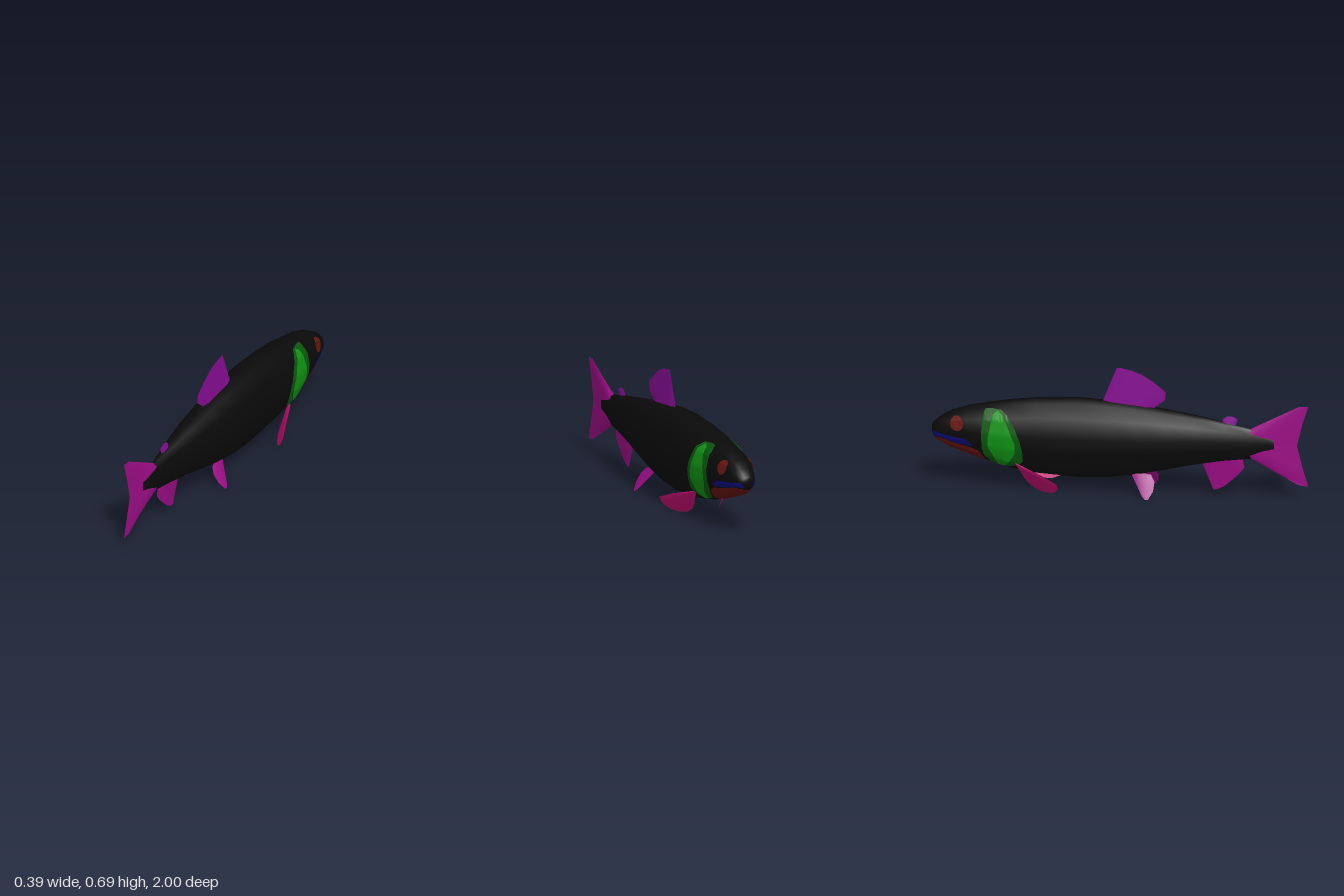
import * as THREE from 'three';

const mat = (name, color) => {
  const m = new THREE.MeshStandardMaterial({ color, side: THREE.DoubleSide });
  m.name = name;
  return m;
};

// Body stations: z, top, bottom, half width (nose to tail)
const STATIONS = [
  [-1, 0.338, 0.288, 0.03], [-0.985, 0.352, 0.262, 0.045], [-0.96, 0.375, 0.248, 0.06],
  [-0.9, 0.41, 0.218, 0.08], [-0.81, 0.44, 0.188, 0.1], [-0.7, 0.462, 0.153, 0.115],
  [-0.6, 0.481, 0.122, 0.125], [-0.45, 0.5, 0.094, 0.127], [-0.22, 0.512, 0.079, 0.127],
  [-0.05, 0.505, 0.087, 0.122], [0.1, 0.49, 0.11, 0.113], [0.25, 0.469, 0.143, 0.098],
  [0.4, 0.446, 0.177, 0.077], [0.55, 0.419, 0.203, 0.051], [0.69, 0.39, 0.22, 0.025],
  [0.76, 0.362, 0.25, 0.018], [0.82, 0.345, 0.27, 0.012],
];
// Half cross-section from top to bottom: x and y as fractions
const SECTION = [[0, 1], [0.46, 0.935], [0.86, 0.63], [1, 0.12], [0.95, -0.29], [0.75, -0.71], [0.43, -0.94], [0, -1]];

// Linear lookup in rows sorted by their first value
function lookup(rows, v) {
  let i = 0;
  while (i < rows.length - 2 && v > rows[i + 1][0]) i++;
  const a = rows[i], b = rows[i + 1];
  const f = THREE.MathUtils.clamp((v - a[0]) / (b[0] - a[0]), 0, 1);
  return a.map((p, k) => p + (b[k] - p) * f);
}
const WIDTHS = SECTION.map(([x, y]) => [y, x]).reverse();

// Point on the left flank at (z, y), lifted outward
function onSkin(z, y, lift) {
  const [, top, bottom, w] = lookup(STATIONS, z);
  const c = (top + bottom) / 2, h = (top - bottom) / 2;
  const t = THREE.MathUtils.clamp((y - c) / h, -1, 1);
  const x = w * lookup(WIDTHS, t)[1];
  const n = new THREE.Vector2(x / (w * w), t / h).normalize();
  return [x + n.x * lift, c + t * h + n.y * lift, z];
}

function makeGeometry(positions, index) {
  const g = new THREE.BufferGeometry();
  g.setAttribute('position', new THREE.Float32BufferAttribute(positions.flat(), 3));
  g.setIndex(index);
  g.computeVertexNormals();
  return g;
}

// Triangles for a grid of rows x cols points
function gridIndex(rows, cols, start = 0) {
  const index = [];
  for (let i = 0; i < rows - 1; i++) for (let j = 0; j < cols - 1; j++) {
    const a = start + i * cols + j, b = a + 1, c = a + cols, d = c + 1;
    index.push(a, c, b, b, c, d);
  }
  return index;
}

function bodyGeometry() {
  const ring = [...SECTION, ...SECTION.slice(1, -1).reverse().map(([x, y]) => [-x, y])];
  const n = ring.length, pos = [], index = [];
  for (const [z, top, bottom, w] of STATIONS)
    for (const [x, y] of ring) pos.push([x * w, (top + bottom) / 2 + y * (top - bottom) / 2, z]);
  const last = (STATIONS.length - 1) * n, nose = pos.length;
  pos.push([0, 0.315, -1.0], [0, 0.307, 0.82]);
  for (let j = 0; j < n; j++) {
    const k = (j + 1) % n;
    for (let i = 0; i < last; i += n) index.push(i + j, i + n + j, i + k, i + k, i + n + j, i + n + k);
    index.push(nose, j, k, nose + 1, last + k, last + j);
  }
  return makeGeometry(pos, index);
}

// Thin marking on the skin; rows are z, lower y, upper y
function patchGeometry(rows, lift, side) {
  const N = 32, K = 18, pos = [];
  const z0 = rows[0][0], z1 = rows[rows.length - 1][0];
  for (let i = 0; i <= N; i++) {
    const z = z0 + (z1 - z0) * i / N;
    const [, lo, hi] = lookup(rows, z);
    for (let j = 0; j <= K; j++) {
      const [x, y, pz] = onSkin(z, lo + (hi - lo) * j / K, lift);
      pos.push([x * side, y, pz]);
    }
  }
  return makeGeometry(pos, gridIndex(N + 1, K + 1));
}

// Fin lofted from a thick base to a thin rim; points are [z, y], xAt gives its plane
function finGeometry(base, rim, thick, xAt = () => 0, side = 1) {
  const pos = [], n = base.length, rows = 5;
  for (const face of [1, -1]) for (let i = 0; i < n; i++) for (let r = 0; r < rows; r++) {
    const f = r / (rows - 1);
    const z = base[i][0] + (rim[i][0] - base[i][0]) * f;
    const y = base[i][1] + (rim[i][1] - base[i][1]) * f;
    const t = i === 0 || i === n - 1 ? 0 : thick * (1 - f);
    pos.push([side * (xAt(z, y) + face * t), y, z]);
  }
  return makeGeometry(pos, [...gridIndex(n, rows), ...gridIndex(n, rows, n * rows)]);
}

// Evenly spaced base points from a to b
const line = (a, b, n) => Array.from({ length: n }, (_, i) =>
  [a[0] + (b[0] - a[0]) * i / (n - 1), a[1] + (b[1] - a[1]) * i / (n - 1)]);

export function createModel() {
  const skin = mat('black skin', 0x0a0a0a);
  const darkGreen = mat('dark green', 0x0a580d);
  const green = mat('bright green', 0x109414);
  const red = mat('dark red', 0x661410);
  const blue = mat('deep blue', 0x0c0c78);
  const magenta = mat('magenta fin', 0x9c0d86);
  const purple = mat('purple fin', 0x860d92);
  const pink = mat('pink fin', 0xc00d70);

  const group = new THREE.Group();
  const add = (name, geometry, material) => {
    const m = new THREE.Mesh(geometry, material);
    m.name = name;
    group.add(m);
  };

  add('body', bodyGeometry(), skin);

  // Fins on the centre line
  const dorsalRim = [[-0.02, 0.69], [0.0, 0.692], [0.06, 0.68], [0.115, 0.66], [0.18, 0.618], [0.24, 0.57], [0.238, 0.525]];
  add('dorsalFin', finGeometry(line([-0.1, 0.49], [0.165, 0.465], 7), dorsalRim, 0.012), purple);
  const adiposeRim = [[0.548, 0.437], [0.565, 0.449], [0.59, 0.452], [0.612, 0.446], [0.626, 0.435]];
  add('adiposeFin', finGeometry(line([0.535, 0.405], [0.61, 0.395], 5), adiposeRim, 0.01), purple);
  const analRim = [[0.495, 0.04], [0.515, 0.042], [0.555, 0.062], [0.6, 0.102], [0.64, 0.143], [0.66, 0.17]];
  add('analFin', finGeometry(line([0.43, 0.2], [0.65, 0.225], 6), analRim, 0.014), magenta);
  const tailBase = [[0.69, 0.385], [0.69, 0.37], [0.7, 0.34], [0.71, 0.305], [0.7, 0.27], [0.69, 0.24], [0.69, 0.225]];
  const tailRim = [[0.95, 0.522], [1, 0.525], [0.968, 0.42], [0.94, 0.305], [0.968, 0.19], [1, 0.08], [0.95, 0.085]];
  add('tailFin', finGeometry(tailBase, tailRim, 0.018), magenta);

  // Paired fins and markings
  const pectoralRim = [[-0.5, 0.08], [-0.475, 0.052], [-0.44, 0.03], [-0.385, 0.018], [-0.345, 0.026], [-0.32, 0.042], [-0.308, 0.065], [-0.312, 0.092], [-0.4, 0.127]];
  const pelvicRim = [[0.13, 0.022], [0.148, 0.006], [0.165, 0.008], [0.188, 0.045], [0.192, 0.09]];
  const eyeRows = Array.from({ length: 13 }, (_, i) => {
    const a = Math.PI * i / 12, s = 0.036 * Math.sin(a);
    return [-0.86 - 0.036 * Math.cos(a), 0.365 - s, 0.365 + s];
  });
  const gillRows = [[-0.725, 0.25, 0.39], [-0.715, 0.2, 0.447], [-0.68, 0.16, 0.453], [-0.62, 0.14, 0.45],
    [-0.58, 0.14, 0.42], [-0.545, 0.15, 0.36], [-0.52, 0.165, 0.3], [-0.505, 0.18, 0.23]];
  const gillCoreRows = [[-0.69, 0.25, 0.31], [-0.665, 0.21, 0.43], [-0.64, 0.15, 0.445], [-0.605, 0.145, 0.415],
    [-0.575, 0.18, 0.35], [-0.545, 0.23, 0.28]];
  const jawRows = [[-0.99, 0.255, 0.277], [-0.95, 0.23, 0.278], [-0.87, 0.2, 0.258], [-0.78, 0.16, 0.242],
    [-0.74, 0.15, 0.225], [-0.71, 0.14, 0.18]];
  const lipRows = [[-0.997, 0.285, 0.31], [-0.95, 0.28, 0.303], [-0.87, 0.261, 0.294], [-0.82, 0.255, 0.29], [-0.78, 0.248, 0.262]];

  for (const [label, s] of [['left', 1], ['right', -1]]) {
    add(label + 'PectoralFin', finGeometry(line([-0.53, 0.14], [-0.545, 0.168], 9), pectoralRim, 0.008,
      (z, y) => 0.329 + 0.58 * z + 0.51 * y, s), pink);
    add(label + 'PelvicFin', finGeometry(line([0.06, 0.13], [0.17, 0.122], 5), pelvicRim, 0.008,
      (z, y) => 0.05 + (0.12 - y) * 0.66, s), magenta);
    add(label + 'Eye', patchGeometry(eyeRows, 0.006, s), red);
    add(label + 'GillCover', patchGeometry(gillRows, 0.003, s), darkGreen);
    add(label + 'GillPatch', patchGeometry(gillCoreRows, 0.005, s), green);
    add(label + 'LowerJaw', patchGeometry(jawRows, 0.004, s), red);
    add(label + 'Lip', patchGeometry(lipRows, 0.004, s), blue);
  }
  return group;
}
